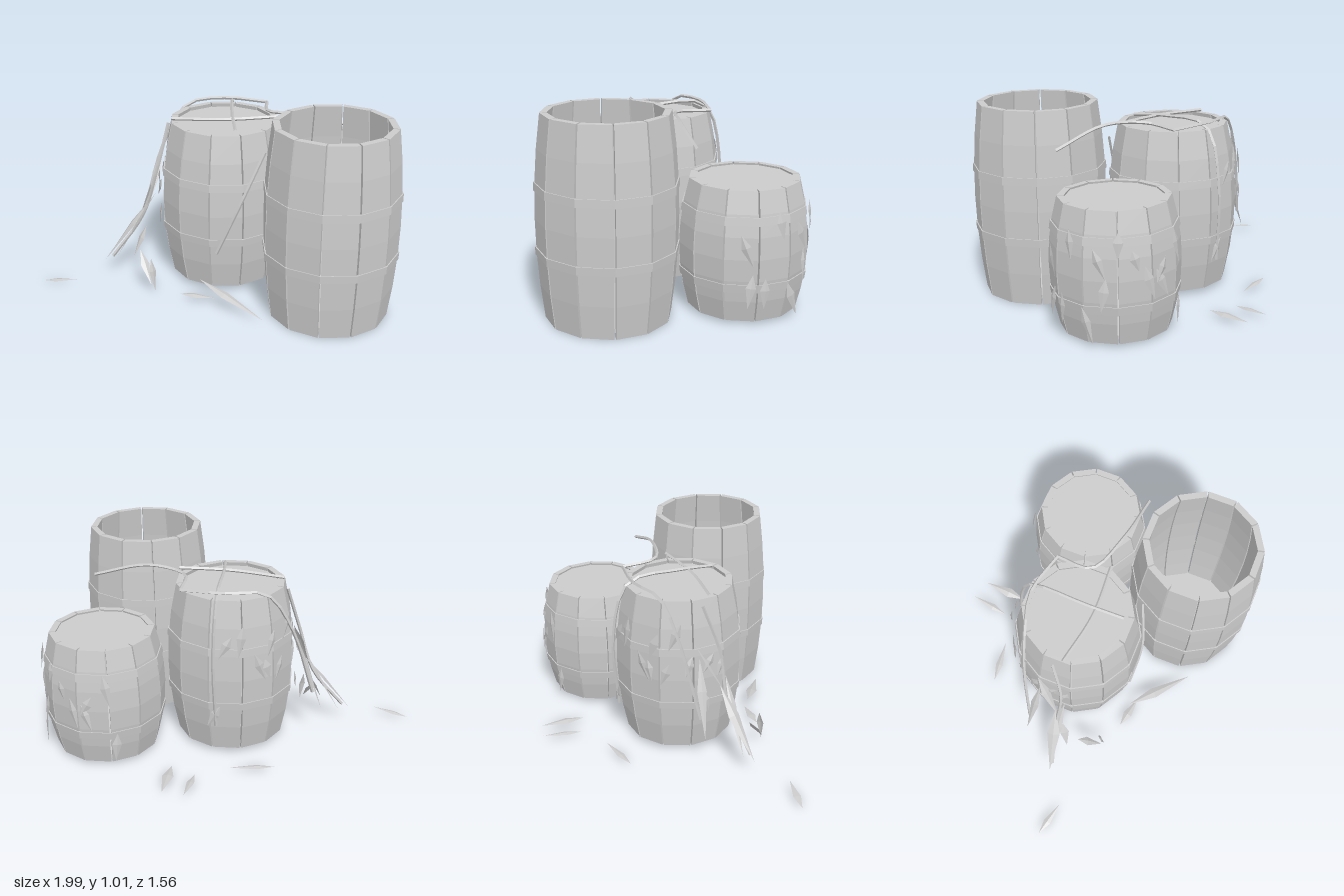
import * as THREE from 'three';
import { mergeGeometries } from 'three/addons/utils/BufferGeometryUtils.js';

const material = new THREE.MeshStandardMaterial({ color: 0xcccccc, flatShading: true });
const thin = new THREE.MeshStandardMaterial({ color: 0xcccccc, flatShading: true, side: THREE.DoubleSide });
const SIDES = 12;
const STEP = (Math.PI * 2) / SIDES;

function addMesh(parent, name, geometry, mat = material) {
  const mesh = new THREE.Mesh(geometry, mat);
  mesh.name = name;
  parent.add(mesh);
  return mesh;
}

// Ring of boxes bent onto a bulging wall; fill < 1 leaves gaps between them
function ring(y0, y1, radiusAt, thickness, fill, rows) {
  const pieces = [];
  for (let i = 0; i < SIDES; i++) {
    const geo = new THREE.BoxGeometry(1, 1, 1, 1, rows, 1);
    const p = geo.attributes.position;
    for (let k = 0; k < p.count; k++) {
      const angle = (i + p.getX(k) * fill) * STEP;
      const y = THREE.MathUtils.lerp(y0, y1, p.getY(k) + 0.5);
      const r = radiusAt(y) + (p.getZ(k) - 0.5) * thickness;
      p.setXYZ(k, Math.sin(angle) * r, y, Math.cos(angle) * r);
    }
    pieces.push(geo);
  }
  const merged = mergeGeometries(pieces);
  merged.computeVertexNormals();
  return merged;
}

// Barrel of staves with hoops and flat heads
function barrel(name, { x, z, y0, y1, rEnd, rMid, hoops, heads }) {
  const group = new THREE.Group();
  group.name = name;
  group.position.set(x, 0, z);
  const radiusAt = (y) => {
    const t = (2 * (y - y0)) / (y1 - y0) - 1;
    return rEnd + (rMid - rEnd) * (1 - t * t);
  };
  addMesh(group, 'staves', ring(y0, y1, radiusAt, 0.035, 0.95, 6));
  for (const y of hoops)
    addMesh(group, 'hoop', ring(y - 0.02, y + 0.02, (h) => radiusAt(h) + 0.006, 0.01, 1, 1));
  for (const y of heads) {
    const r = radiusAt(y) - 0.025;
    const head = addMesh(group, 'head', new THREE.CylinderGeometry(r, r, 0.02, SIDES));
    head.position.y = y;
    head.rotation.y = STEP / 2;
  }
  return group;
}

// Pointed leaf folded along its spine, from root to tip, facing the given way
function leaf(root, tip, width, facing = [0, 1, 0]) {
  const a = new THREE.Vector3(...root);
  const b = new THREE.Vector3(...tip);
  const dir = b.clone().sub(a).normalize();
  const side = dir.clone().cross(new THREE.Vector3(...facing)).normalize();
  const lift = side.clone().cross(dir);
  const mid = a.clone().lerp(b, 0.4);
  const l = mid.clone().addScaledVector(side, width / 2);
  const r = mid.clone().addScaledVector(side, -width / 2);
  mid.addScaledVector(lift, width * 0.15);
  const geo = new THREE.BufferGeometry().setFromPoints([a, l, mid, l, b, mid, a, mid, r, mid, b, r]);
  geo.computeVertexNormals();
  return geo;
}

function vine(points) {
  const curve = new THREE.CatmullRomCurve3(points.map((p) => new THREE.Vector3(...p)));
  return new THREE.TubeGeometry(curve, 14, 0.009, 4);
}

function seeded(seed) {
  return () => {
    seed = (seed * 16807) % 2147483647;
    return seed / 2147483647;
  };
}

export function createModel() {
  const model = new THREE.Group();
  model.name = 'barrelCluster';

  // The tall barrel is open at the top, the other two are closed
  model.add(barrel('tallBarrel', {
    x: 0.525, z: 0.445, y0: 0.005, y1: 1.02, rEnd: 0.31, rMid: 0.347,
    hoops: [0.35, 0.67], heads: [0.04],
  }));
  model.add(barrel('middleBarrel', {
    x: 0, z: -0.03, y0: 0.03, y1: 0.89, rEnd: 0.29, rMid: 0.343,
    hoops: [0.31, 0.62], heads: [0.06, 0.86],
  }));
  model.add(barrel('shortBarrel', {
    x: 0.66, z: -0.22, y0: 0.02, y1: 0.67, rEnd: 0.275, rMid: 0.322,
    hoops: [0.2, 0.53], heads: [0.045, 0.65],
  }));

  // Vines draped over the middle barrel
  const vines = [
    [[0.05, 0.9, 0.2], [0.04, 0.92, 0], [0.05, 0.9, -0.3], [0.06, 0.6, -0.39], [0.05, 0.2, -0.37]],
    [[-0.45, 0.3, -0.14], [-0.33, 0.7, -0.2], [-0.2, 0.9, -0.24], [0, 0.92, -0.29], [0.24, 0.91, -0.24]],
    [[0.24, 0.91, -0.24], [0.24, 0.92, -0.05], [0.45, 0.93, 0.04], [0.75, 0.85, 0.08]],
    [[-0.28, 0.9, 0], [0, 0.91, 0.05], [0.28, 0.92, 0.04]],
    [[0.2, 0.8, 0.25], [0.08, 0.55, 0.31], [-0.05, 0.25, 0.3]],
    [[-0.3, 0.86, -0.05], [-0.37, 0.6, 0.02], [-0.45, 0.35, 0.02], [-0.62, 0.12, 0.06]],
  ];
  for (const points of vines) addMesh(model, 'vine', vine(points));

  // Leaves fallen around the barrels and leaning on the left side
  const leaves = [
    [[-1, 0.01, 0.13], [-0.81, 0.04, 0.18], 0.04],
    [[0.14, 0.02, -0.57], [0.17, 0.04, -0.78], 0.04],
    [[0.27, 0.02, -0.5], [0.285, 0.03, -0.75], 0.06],
    [[-0.27, 0.02, -0.46], [-0.03, 0.02, -0.49], 0.04],
    [[-0.25, 0.03, 0.33], [-0.06, 0.02, 0.37], 0.05],
    [[-0.14, 0.12, 0.34], [0.18, 0.02, 0.6], 0.06],
    [[-0.4, 0.44, 0], [-0.66, 0.1, 0.06], 0.07],
    [[-0.37, 0.5, 0.04], [-0.6, 0.1, 0.03], 0.05],
    [[-0.36, 0.6, -0.1], [-0.5, 0.2, -0.14], 0.05],
    [[-0.34, 0.68, -0.12], [-0.42, 0.4, 0.02], 0.05],
    [[-0.43, 0.3, 0.05], [-0.5, 0.14, 0.1], 0.05],
    [[-0.46, 0.2, 0.15], [-0.4, 0.05, 0.27], 0.05],
    [[-0.4, 0.2, 0.25], [-0.38, 0.02, 0.28], 0.04],
  ];

  // Leaves hanging over the rear walls
  const rand = seeded(77);
  const sprays = [
    { x: 0, z: -0.03, r: 0.35, from: 0.95, to: 1.6, low: 0.25, high: 0.8, width: 0.05, count: 12 },
    { x: 0.66, z: -0.22, r: 0.32, from: 0.3, to: 1.15, low: 0.2, high: 0.65, width: 0.05, count: 14 },
  ];
  for (const s of sprays)
    for (let i = 0; i < s.count; i++) {
      const a = Math.PI * THREE.MathUtils.lerp(s.from, s.to, (i + 0.5) / s.count);
      const b = a + (rand() - 0.5) * 0.4;
      const y = THREE.MathUtils.lerp(s.low, s.high, rand());
      const place = (angle, r, h) => [s.x + Math.sin(angle) * r, h, s.z + Math.cos(angle) * r];
      leaves.push([
        place(a, s.r, y),
        place(b, s.r + 0.02 * rand(), y - 0.1 - 0.08 * rand()),
        s.width,
        [Math.sin(a), 0, Math.cos(a)],
      ]);
    }
  for (const [root, tip, width, facing] of leaves) addMesh(model, 'leaf', leaf(root, tip, width, facing), thin);

  return model;
}
